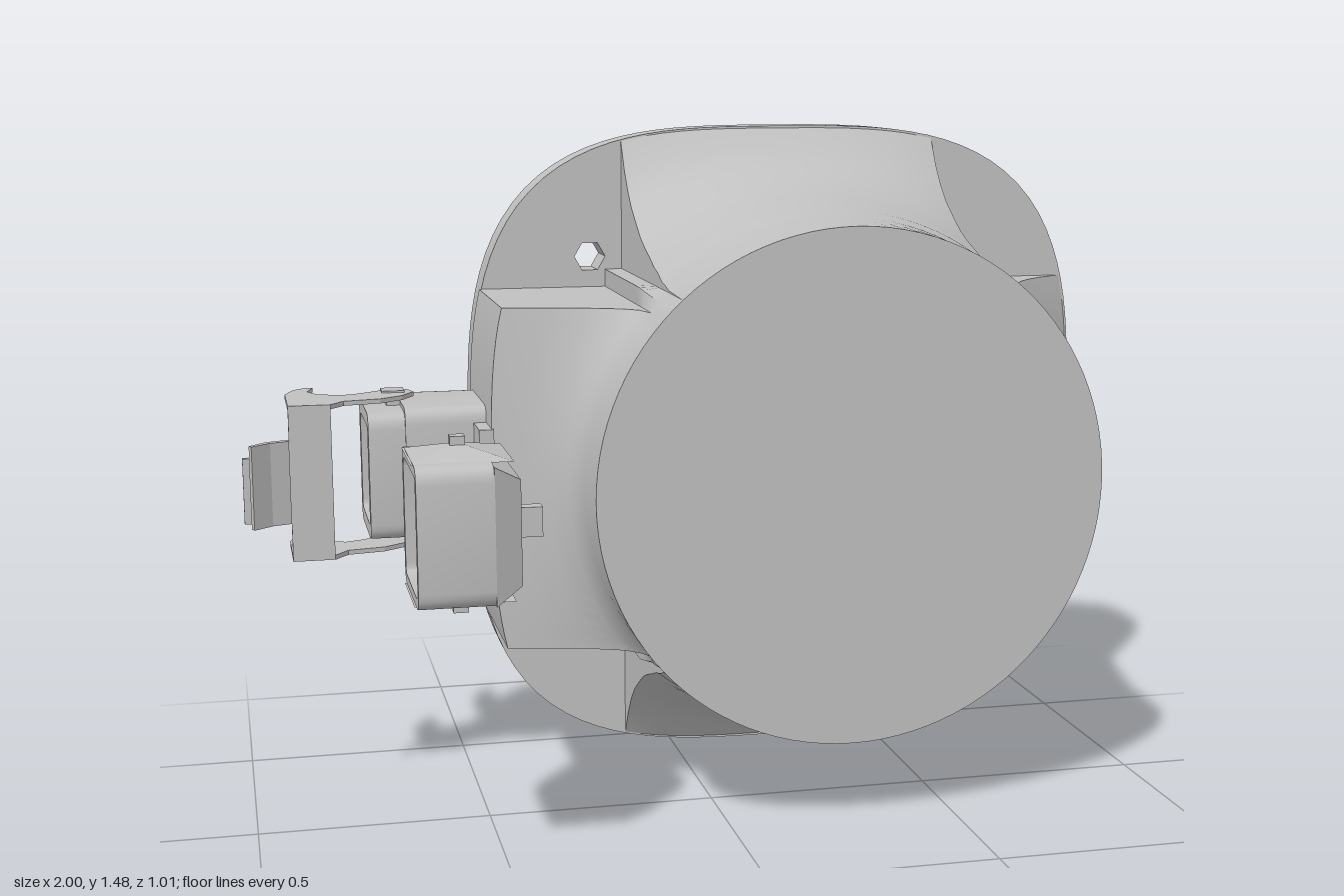
import * as THREE from 'three';
import { toCreasedNormals } from 'three/addons/utils/BufferGeometryUtils.js';

const CX = 0.26, CY = 0.745;          // axis of the body
const R0 = 0.557, HALF = 0.735;       // neck radius, half width of the flange
const EDGE = 0.375, POST = 0.415;     // corner pocket limits

// radius of the rounded-square flange outline at an angle
function outline(a) {
  const n = 3.23;
  const c = Math.abs(Math.cos(a)), s = Math.abs(Math.sin(a));
  return HALF / Math.pow(c ** n + s ** n, 1 / n);
}

// one eighth of a body section: flared flap, pocket wall, corner post
function octant(t, tPost, steps) {
  const rad = (a, k) => R0 + (outline(a) - R0) * k;
  let lo = 0, hi = Math.atan2(EDGE, POST);
  if (rad(hi, t) * Math.sin(hi) > EDGE) {
    for (let i = 0; i < 30; i++) {
      const m = (lo + hi) / 2;
      if (rad(m, t) * Math.sin(m) > EDGE) hi = m; else lo = m;
    }
  }
  const pts = [];
  for (let i = 0; i <= steps; i++) {
    const a = hi * i / steps, r = rad(a, t);
    pts.push([r * Math.cos(a), r * Math.sin(a)]);
  }
  for (const [x, y, k] of [[POST, EDGE, t], [POST, POST, tPost]]) {
    const a = Math.atan2(y, x), r = Math.min(Math.hypot(x, y), rad(a, k));
    pts.push([r * Math.cos(a), r * Math.sin(a)]);
  }
  return pts;
}

function bodyGeometry() {
  // z, flare of three sides, flare of the connector side
  const rows = [
    [0.23, 0, 0], [0.1, 0.02, 0], [0.06, 0.04, 0.05], [0.03, 0.05, 0.13],
    [0, 0.08, 0.34], [-0.025, 0.10, 0.65], [-0.045, 0.11, 1], [-0.1, 0.165, 1],
    [-0.15, 0.21, 1], [-0.2, 0.27, 1], [-0.25, 0.36, 1], [-0.3, 0.46, 1],
    [-0.34, 0.58, 1], [-0.38, 0.75, 1], [-0.42, 1, 1],
  ];
  const pos = [], idx = [];
  let count = 0;
  for (const [z, t, tSide] of rows) {
    count = 0;
    for (let q = 0; q < 4; q++) {
      const first = octant(q === 2 ? tSide : t, t, 12);
      const second = octant(q === 1 ? tSide : t, t, 12).map(([x, y]) => [y, x]).reverse();
      const c = [1, 0, -1, 0][q], s = [0, 1, 0, -1][q];
      for (const [x, y] of [...first, ...second.slice(1, -1)]) {
        pos.push(CX + x * c - y * s, CY + x * s + y * c, z);
        count++;
      }
    }
  }
  for (let i = 0; i < rows.length - 1; i++) {
    for (let j = 0; j < count; j++) {
      const a = i * count + j, b = i * count + (j + 1) % count;
      idx.push(a, a + count, b, a + count, b + count, b);
    }
  }
  // flat front face
  pos.push(CX, CY, rows[0][0]);
  for (let j = 0; j < count; j++) idx.push(pos.length / 3 - 1, j, (j + 1) % count);
  const g = new THREE.BufferGeometry();
  g.setAttribute('position', new THREE.Float32BufferAttribute(pos, 3));
  g.setIndex(idx);
  return toCreasedNormals(g, 0.5);
}

function flangeGeometry() {
  const pts = [];
  for (let i = 0; i < 120; i++) {
    const a = i / 120 * Math.PI * 2, r = outline(a);
    pts.push(new THREE.Vector2(0.265 + r * Math.cos(a), CY + r * Math.sin(a) * 1.007));
  }
  const shape = new THREE.Shape(pts);
  for (const sx of [-1, 1]) for (const sy of [-1, 1]) {
    const hole = new THREE.Path();
    hole.absarc(0.255 + sx * 0.445, CY + sy * 0.445, 0.036, 0, Math.PI * 2, true);
    shape.holes.push(hole);
  }
  const g = new THREE.ExtrudeGeometry(shape, { depth: 0.09, bevelEnabled: false, curveSegments: 3 });
  g.translate(0, 0, -0.51);
  return toCreasedNormals(g, 0.5);
}

// rounded rectangle in the z-y plane, drawn into a Shape or Path
function roundRect(p, w, h, r) {
  const x = w / 2, y = h / 2;
  p.moveTo(-x + r, -y).lineTo(x - r, -y).quadraticCurveTo(x, -y, x, -y + r)
    .lineTo(x, y - r).quadraticCurveTo(x, y, x - r, y)
    .lineTo(-x + r, y).quadraticCurveTo(-x, y, -x, y - r)
    .lineTo(-x, -y + r).quadraticCurveTo(-x, -y, -x + r, -y);
  return p;
}

// flat outline of [x, z] points raised from y0 to y1
function prism(points, y0, y1) {
  const shape = new THREE.Shape(points.map(([x, z]) => new THREE.Vector2(x, -z)));
  const g = new THREE.ExtrudeGeometry(shape, { depth: y1 - y0, bevelEnabled: false });
  return g.rotateX(-Math.PI / 2).translate(0, y0, 0);
}

export function createModel() {
  const root = new THREE.Group();
  root.name = 'flangedHousing';
  const grey = new THREE.MeshStandardMaterial({ color: 0xc0c0c0 });
  grey.name = 'grey';

  const add = (name, geo, parent = root) => {
    const m = new THREE.Mesh(geo, grey);
    m.name = name;
    parent.add(m);
    return m;
  };
  const box = (name, x0, x1, y0, y1, z0, z1, parent) =>
    add(name, new THREE.BoxGeometry(x1 - x0, y1 - y0, z1 - z0)
      .translate((x0 + x1) / 2, (y0 + y1) / 2, (z0 + z1) / 2), parent);
  const group = (name) => {
    const g = new THREE.Group();
    g.name = name;
    root.add(g);
    return g;
  };
  // sleeve running along x, hollow when wall is given
  const sleeve = (name, x0, x1, w, h, z, wall, parent) => {
    const s = roundRect(new THREE.Shape(), w, h, 0.035);
    if (wall) s.holes.push(roundRect(new THREE.Path(), w - 2 * wall, h - 2 * wall, 0.02));
    const g = new THREE.ExtrudeGeometry(s, { depth: x1 - x0, bevelEnabled: false, curveSegments: 4 });
    g.rotateY(Math.PI / 2).translate(x0, CY, z);
    return add(name, toCreasedNormals(g, 0.6), parent);
  };

  add('body', bodyGeometry());
  add('flange', flangeGeometry());

  // connector socket on the side of the body, open outward
  const socket = group('socket');
  sleeve('socketSleeve', -0.73, -0.62, 0.265, 0.28, -0.268, 0.03, socket);
  sleeve('socketBase', -0.65, -0.46, 0.275, 0.3, -0.268, 0, socket);
  box('socketSeal', -0.502, -0.47, 0.63, 0.86, -0.475, -0.035, socket);
  for (const s of [-1, 1]) {
    const y = CY + s * 0.15;
    box('lockPin', -0.68, -0.65, y - 0.02, y + 0.02, -0.285, -0.255, socket);
    box('lockPinHead', -0.69, -0.64, CY + s * 0.17 - 0.004, CY + s * 0.17 + 0.004, -0.295, -0.245, socket);
  }

  // loose plug with a tapered nose
  const plug = group('plug');
  sleeve('plugSleeve', -0.69, -0.54, 0.275, 0.28, 0.366, 0.02, plug);
  const nose = new THREE.CylinderGeometry(0.105 * Math.SQRT2, 0.137 * Math.SQRT2, 0.055, 4, 1);
  nose.rotateY(Math.PI / 4).rotateZ(-Math.PI / 2).translate(-0.513, CY, 0.366);
  add('plugNose', toCreasedNormals(nose, 0.3), plug);
  box('plugLatch', -0.487, -0.43, 0.715, 0.775, 0.345, 0.378, plug);
  for (const s of [-1, 1]) {
    const ramp = new THREE.ConeGeometry(0.14, 0.025, 4).rotateY(Math.PI / 4);
    if (s < 0) ramp.rotateX(Math.PI);
    ramp.translate(-0.595, CY + s * 0.151, 0.36);
    add('plugRamp', toCreasedNormals(ramp, 0.2), plug);
    box('plugNub', -0.61, -0.58, CY + s * 0.158 - 0.019, CY + s * 0.158 + 0.019, 0.345, 0.375, plug);
  }

  // locking clip: two hooked arms, a front strip and a thumb tab
  const clip = group('lockingClip');
  const arm = [
    [-0.90, -0.11], [-0.90, -0.27], [-0.88, -0.33], [-0.85, -0.36], [-0.835, -0.355],
    [-0.85, -0.30], [-0.83, -0.26], [-0.78, -0.235], [-0.74, -0.25], [-0.69, -0.285],
    [-0.63, -0.29], [-0.62, -0.25], [-0.65, -0.20], [-0.70, -0.165], [-0.78, -0.15], [-0.81, -0.11],
  ];
  for (const y of [0.575, 0.905]) add('clipArm', prism(arm, y, y + 0.01), clip);
  box('clipStrip', -0.90, -0.81, 0.575, 0.915, -0.122, -0.11, clip);
  add('thumbTab', prism([[-0.90, -0.125], [-0.95, -0.105], [-0.985, -0.065], [-0.98, -0.055],
    [-0.94, -0.09], [-0.90, -0.105]], 0.66, 0.84), clip);
  box('thumbTabLip', -1.0, -0.985, 0.68, 0.82, -0.042, -0.028, clip);

  return root;
}
